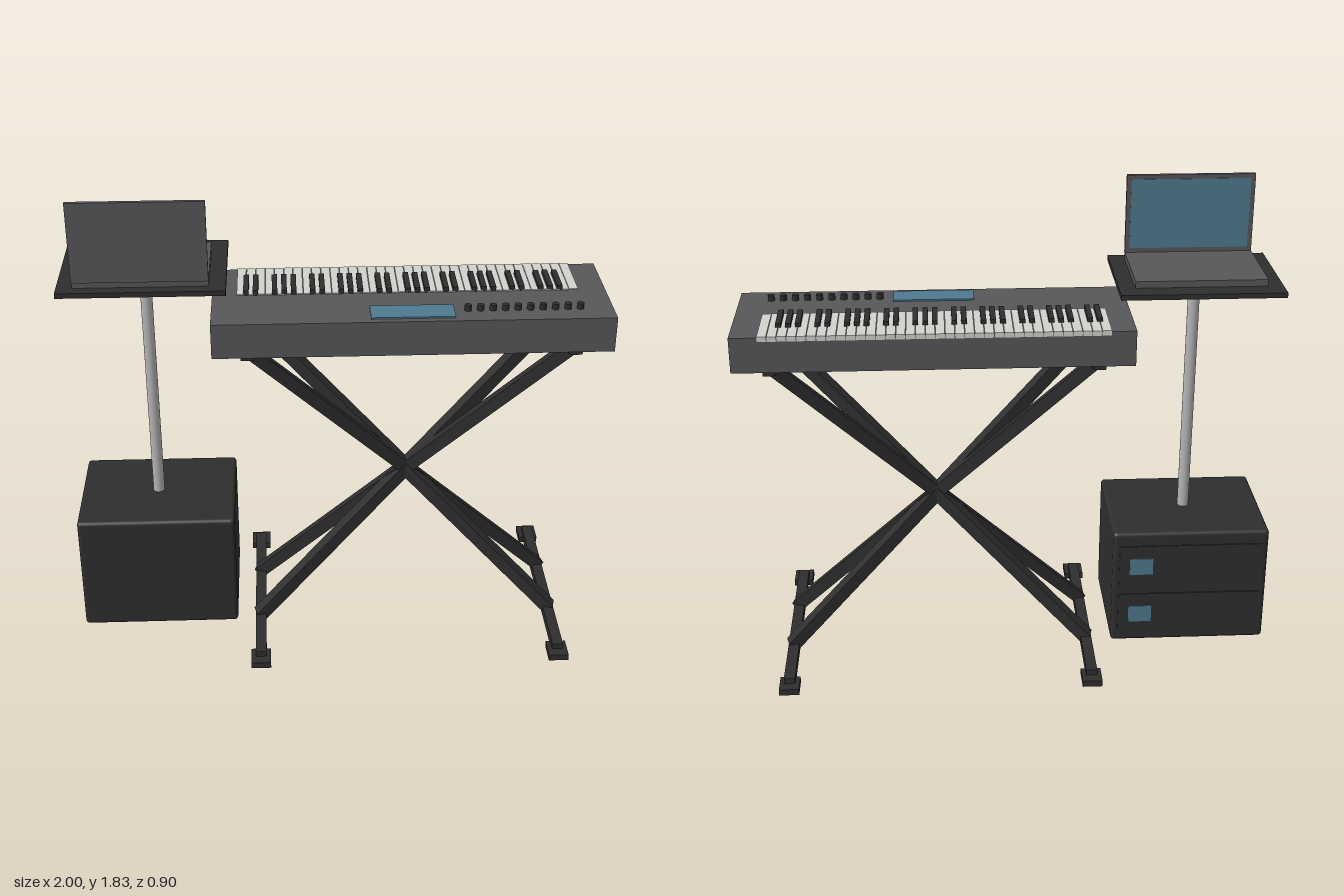
import * as THREE from 'three';
import { RoundedBoxGeometry } from 'three/addons/geometries/RoundedBoxGeometry.js';

const mat = (name, color) => {
  const m = new THREE.MeshStandardMaterial({ color });
  m.name = name;
  return m;
};

export function createModel() {
  const black = mat('black', 0x2e2e2e);
  const grey = mat('grey', 0x57575a);
  const ivory = mat('ivory', 0xd2d2ce);
  const metal = mat('metal', 0xb4b4b4);
  const blue = mat('screen blue', 0x4f7a90);

  const model = new THREE.Group();
  const group = (name) => {
    const g = new THREE.Group();
    g.name = name;
    model.add(g);
    return g;
  };
  const add = (parent, name, geometry, material, x = 0, y = 0, z = 0) => {
    const m = new THREE.Mesh(geometry, material);
    m.name = name;
    m.position.set(x, y, z);
    parent.add(m);
    return m;
  };
  // Box given by its limits on each axis
  const box = (parent, name, material, [x0, x1], [y0, y1], [z0, z1]) =>
    add(parent, name, new THREE.BoxGeometry(x1 - x0, y1 - y0, z1 - z0), material,
      (x0 + x1) / 2, (y0 + y1) / 2, (z0 + z1) / 2);

  // Keyboard body, display and knobs
  const keyboard = group('keyboard');
  box(keyboard, 'keyboardBody', grey, [-0.46, 1], [1.24, 1.375], [-0.24, 0.235]);
  box(keyboard, 'keyboardDisplay', blue, [0.115, 0.42], [1.374, 1.381], [0.11, 0.21]);
  for (let i = 0; i < 10; i++) {
    add(keyboard, 'knob', new THREE.CylinderGeometry(0.013, 0.013, 0.022, 16), black,
      0.47 + i * 0.0455, 1.385, 0.148);
  }

  // Five octaves of keys, plus the closing white key
  const keyWidth = 1.27 / 36, keyStart = -0.37;
  const hasBlack = [true, true, false, true, true, true, false];
  for (let i = 0; i < 36; i++) {
    const x = keyStart + i * keyWidth;
    box(keyboard, 'whiteKey', ivory, [x + 0.001, x + keyWidth - 0.001], [1.36, 1.379], [-0.241, -0.008]);
    if (i < 35 && hasBlack[i % 7]) {
      const c = x + keyWidth;
      box(keyboard, 'blackKey', black, [c - 0.01, c + 0.01], [1.37, 1.394], [-0.15, -0.008]);
    }
  }

  // Crossed stand: four bars through one centre, top rests and feet
  const stand = group('stand');
  const bar = (a, b) => {
    const m = add(stand, 'crossBar', new THREE.BoxGeometry(0.048, 0.048, a.distanceTo(b)), black);
    m.position.copy(a).lerp(b, 0.5);
    m.lookAt(b);
  };
  for (const s of [-1, 1]) {
    bar(new THREE.Vector3(-0.315, 0.035, s * 0.15), new THREE.Vector3(0.865, 1.225, -s * 0.15));
    bar(new THREE.Vector3(0.855, 0.035, s * 0.15), new THREE.Vector3(-0.325, 1.225, -s * 0.15));
  }
  for (const x of [-0.333, 0.868]) {
    box(stand, 'topRest', black, [x - 0.024, x + 0.024], [1.208, 1.241], [-0.195, 0.195]);
  }
  for (const x of [-0.31, 0.847]) {
    box(stand, 'footBar', black, [x - 0.021, x + 0.021], [0.012, 0.048], [-0.41, 0.41]);
    for (const s of [-1, 1]) {
      add(stand, 'footPad', new THREE.BoxGeometry(0.076, 0.025, 0.088), black, x, 0.0125, s * 0.406);
    }
  }

  // Cabinet with two equipment panels on its back
  const cabinet = group('cabinet');
  add(cabinet, 'cabinetBody', new RoundedBoxGeometry(0.6, 0.475, 0.475, 3, 0.015), black, -0.7, 0.307, 0);
  for (const y of [0.4, 0.19]) {
    box(cabinet, 'equipmentPanel', black, [-0.975, -0.425], [y - 0.09, y + 0.09], [-0.241, -0.235]);
    box(cabinet, 'panelDisplay', blue, [-0.555, -0.465], [y - 0.032, y + 0.038], [-0.245, -0.239]);
  }

  // Pole and tray
  const table = group('laptopTable');
  add(table, 'pole', new THREE.CylinderGeometry(0.022, 0.022, 0.95, 24), metal, -0.7, 1.015, 0);
  box(table, 'tray', black, [-1, -0.4], [1.486, 1.505], [-0.225, 0.228]);

  // Laptop, open towards the back
  const laptop = group('laptop');
  box(laptop, 'laptopBase', grey, [-0.943, -0.46], [1.505, 1.53], [-0.15, 0.185]);
  box(laptop, 'laptopLid', grey, [-0.943, -0.46], [1.53, 1.83], [0.183, 0.198]);
  box(laptop, 'laptopScreen', blue, [-0.926, -0.477], [1.547, 1.814], [0.181, 0.184]);

  return model;
}
